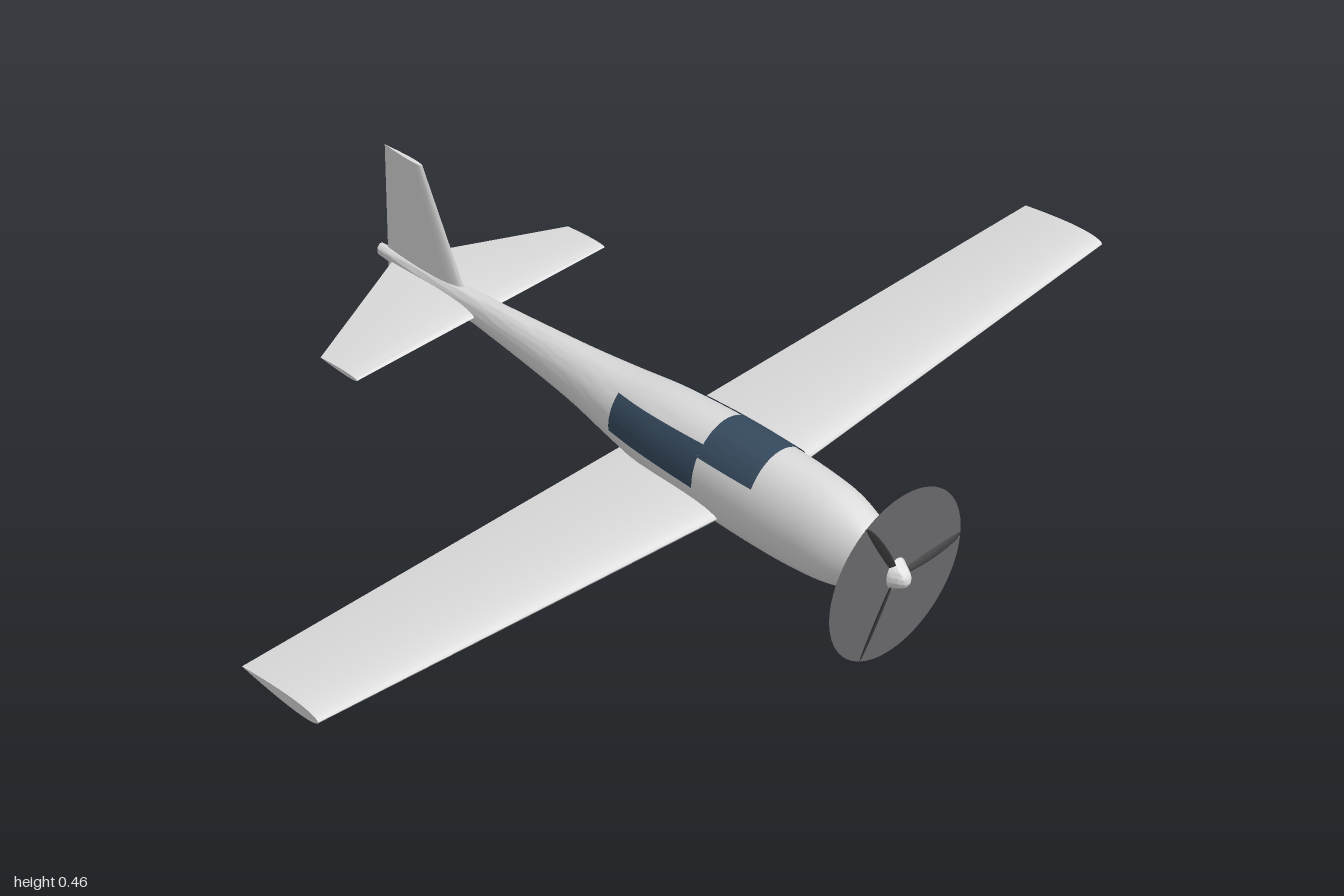
import * as THREE from 'three';
import { toCreasedNormals } from 'three/addons/utils/BufferGeometryUtils.js';

const mat = (name, color, side = THREE.FrontSide) => {
  const m = new THREE.MeshStandardMaterial({ color, side });
  m.name = name;
  return m;
};
const paint = mat('lightGreyPaint', 0xdcdcdc);
const glass = mat('darkGlass', 0x364a5e, THREE.DoubleSide);
const discGrey = mat('propDiscGrey', 0x68686b, THREE.DoubleSide);
const dark = mat('darkRubber', 0x38383a);

// Fuselage stations: z, top y, bottom y, half width
const STATIONS = [
  [-0.695, 0.219, 0.191, 0.010], [-0.6, 0.222, 0.186, 0.016], [-0.4, 0.236, 0.168, 0.026],
  [-0.2, 0.249, 0.147, 0.042], [-0.1, 0.256, 0.134, 0.053], [0, 0.265, 0.116, 0.068],
  [0.1, 0.278, 0.097, 0.079], [0.25, 0.287, 0.081, 0.085], [0.4, 0.286, 0.077, 0.084],
  [0.5, 0.280, 0.082, 0.077], [0.55, 0.270, 0.090, 0.068], [0.6, 0.251, 0.108, 0.052],
  [0.64, 0.225, 0.130, 0.035], [0.67, 0.201, 0.148, 0.021], [0.688, 0.187, 0.159, 0.011],
  [0.695, 0.174, 0.171, 0.001],
];

// Smooth interpolation of the station table
function stationAt(z) {
  const S = STATIONS, n = S.length;
  let i = 0;
  while (i < n - 2 && z > S[i + 1][0]) i++;
  const slope = (k, c) => {
    const a = S[Math.max(k - 1, 0)], b = S[Math.min(k + 1, n - 1)];
    return (b[c] - a[c]) / (b[0] - a[0]);
  };
  const h = S[i + 1][0] - S[i][0], t = (z - S[i][0]) / h, t2 = t * t, t3 = t2 * t;
  const [top, bottom, rx] = [1, 2, 3].map((c) =>
    (2 * t3 - 3 * t2 + 1) * S[i][c] + (t3 - 2 * t2 + t) * h * slope(i, c) +
    (3 * t2 - 2 * t3) * S[i + 1][c] + (t3 - t2) * h * slope(i + 1, c));
  return { cy: (top + bottom) / 2, ry: (top - bottom) / 2, rx };
}

function skinPoint(z, angle, offset = 0) {
  const { cy, ry, rx } = stationAt(z);
  return new THREE.Vector3((rx + offset) * Math.cos(angle), cy + (ry + offset) * Math.sin(angle), z);
}

// Angle on the section at which the skin reaches height y
function angleAt(z, y) {
  const { cy, ry } = stationAt(z);
  return Math.asin(THREE.MathUtils.clamp((y - cy) / ry, -1, 1));
}

// Skin over rows of points; closed rows get end caps and outward faces
function loft(rows, closed, crease = 0.6) {
  const m = rows[0].length, pts = rows.flat(), index = [];
  for (let i = 0; i < rows.length - 1; i++) {
    for (let j = 0; j < (closed ? m : m - 1); j++) {
      const k = (j + 1) % m, a = i * m + j, b = i * m + k, c = a + m, d = b + m;
      index.push(a, b, d, a, d, c);
    }
  }
  if (closed) {
    const last = (rows.length - 1) * m;
    for (let j = 1; j < m - 1; j++) index.push(0, j + 1, j, last, last + j, last + j + 1);
    let volume = 0;
    for (let i = 0; i < index.length; i += 3) {
      volume += pts[index[i]].dot(pts[index[i + 1]].clone().cross(pts[index[i + 2]]));
    }
    if (volume < 0) index.reverse();
  }
  const g = new THREE.BufferGeometry().setFromPoints(pts);
  g.setIndex(index);
  return toCreasedNormals(g, crease);
}

// Symmetric aerofoil ring: place(along, across) puts chord and thickness in space
function aerofoil(front, back, thick, place) {
  const ring = [], N = 14;
  for (let i = 0; i < 2 * N; i++) {
    const a = (i / N) * Math.PI, u = (1 - Math.cos(a)) / 2;
    const half = 5 * (0.2969 * Math.sqrt(u) - 0.126 * u - 0.3516 * u ** 2 + 0.2843 * u ** 3 - 0.1036 * u ** 4);
    ring.push(place(front + (back - front) * u, (i < N ? 1 : -1) * half * thick));
  }
  return ring;
}

export function createModel() {
  const model = new THREE.Group();
  model.name = 'propellerPlane';
  const add = (name, geometry, material, parent = model) => {
    const mesh = new THREE.Mesh(geometry, material);
    mesh.name = name;
    parent.add(mesh);
    return mesh;
  };
  const lerp = THREE.MathUtils.lerp;

  // Fuselage, with closer sections near the nose
  const rows = [];
  for (let i = 0; i <= 60; i++) {
    const z = -0.695 + 1.39 * Math.sin((i / 60) * Math.PI / 2);
    rows.push(Array.from({ length: 48 }, (_, j) => skinPoint(z, (j / 48) * Math.PI * 2)));
  }
  add('fuselage', loft(rows, true, 0.9), paint);

  // Glass panels lying on the skin
  const panel = (name, z0, z1, range) => {
    const grid = [];
    for (let i = 0; i <= 14; i++) {
      const z = lerp(z0, z1, i / 14), [a0, a1] = range(z, i / 14);
      grid.push(Array.from({ length: 25 }, (_, j) => skinPoint(z, lerp(a0, a1, j / 24), 0.002)));
    }
    add(name, loft(grid, false, 0.9), glass);
  };
  panel('windscreen', 0.38, 0.248, (z) => {
    const a = angleAt(z, 0.24);
    return [Math.PI - a, a];
  });
  for (const side of [1, -1]) {
    panel(side > 0 ? 'leftWindow' : 'rightWindow', 0.248, 0.02, (z, t) => {
      const a = angleAt(z, 0.18), b = angleAt(z, lerp(0.261, 0.25, t));
      return side > 0 ? [b, a] : [Math.PI - a, Math.PI - b];
    });
  }

  // Wing with dihedral, straight leading edge and tapered trailing edge
  add('wing', loft([-1, 0, 1].map((x) => {
    const s = Math.abs(x), y = lerp(0.126, 0.224, s);
    return aerofoil(0.302, lerp(0.02, 0.107, s), lerp(0.04, 0.024, s), (z, t) => new THREE.Vector3(x, y + t, z));
  }), true), paint);

  // Tailplane and fin
  add('tailplane', loft([-0.32, 0, 0.32].map((x) => {
    const s = Math.abs(x) / 0.32;
    return aerofoil(-0.395, lerp(-0.655, -0.5, s), lerp(0.022, 0.009, s), (z, t) => new THREE.Vector3(x, 0.202 + t, z));
  }), true), paint);
  add('fin', loft([0.165, 0.458].map((y, i) =>
    aerofoil([-0.422, -0.56][i], [-0.675, -0.668][i], [0.02, 0.009][i], (z, t) => new THREE.Vector3(t, y, z))
  ), true), paint);

  // Propeller: flat disc with three pitched blades
  const propeller = new THREE.Group();
  propeller.name = 'propeller';
  propeller.position.set(0, 0.172, 0.662);
  model.add(propeller);
  add('propellerDisc', new THREE.CircleGeometry(0.17, 64), discGrey, propeller);
  const bladeGeometry = new THREE.SphereGeometry(1, 20, 12)
    .scale(0.085, 0.0125, 0.003).rotateX(-0.66).translate(0.085, 0, 0);
  for (let i = 0; i < 3; i++) {
    add('propellerBlade', bladeGeometry, dark, propeller).rotation.z = (i * Math.PI * 2) / 3;
  }

  // Wheels: rounded tyre with a pale hub
  const wheel = (name, x, y, z, r, w) => {
    const group = new THREE.Group();
    group.name = name;
    group.position.set(x, y, z);
    model.add(group);
    const profile = [[0.6, -0.45], [0.85, -0.5], [0.96, -0.38], [1, -0.2], [1, 0.2], [0.96, 0.38],
      [0.85, 0.5], [0.6, 0.45], [0.6, -0.45]].map(([a, b]) => new THREE.Vector2(a * r, b * w));
    add('tyre', toCreasedNormals(new THREE.LatheGeometry(profile, 28).rotateZ(Math.PI / 2), 0.7), dark, group);
    add('wheelHub', new THREE.CylinderGeometry(r * 0.61, r * 0.61, w * 0.86, 24).rotateZ(Math.PI / 2), paint, group);
  };
  wheel('noseWheel', 0, 0.053, 0.572, 0.026, 0.02);
  wheel('leftMainWheel', 0.228, 0.057, 0.083, 0.03, 0.022);
  wheel('rightMainWheel', -0.228, 0.057, 0.083, 0.03, 0.022);

  return model;
}
